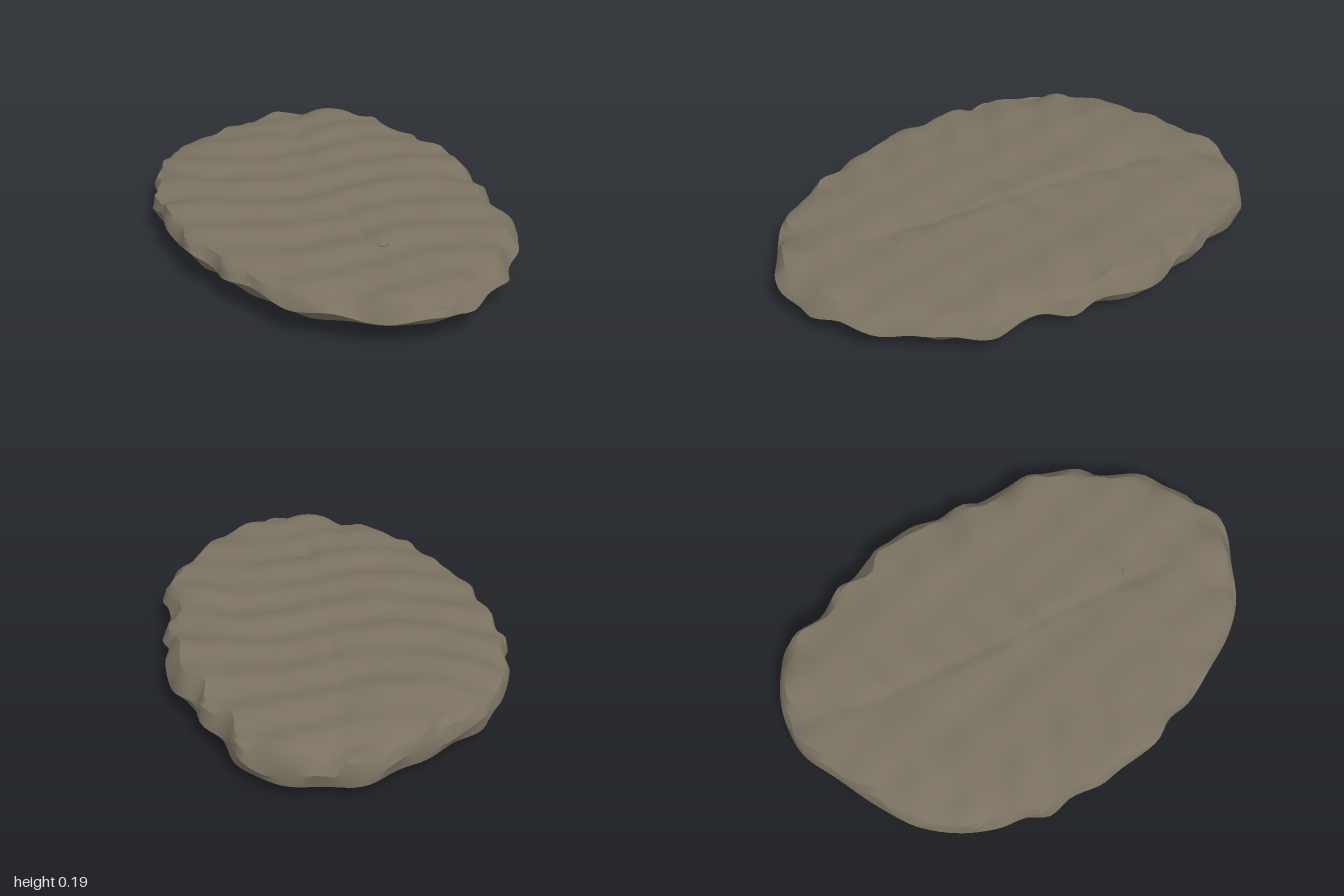
import * as THREE from 'three';
import { toCreasedNormals } from 'three/addons/utils/BufferGeometryUtils.js';

const SEGMENTS = 168;

// Slab outline as x, z pairs, clockwise from the back
const OUTLINE = [
  0.02, -1, 0.2, -0.98, 0.35, -0.91, 0.4, -0.85, 0.45, -0.71, 0.53, -0.61, 0.55, -0.52, 0.63, -0.4,
  0.67, -0.22, 0.66, -0.1, 0.69, 0, 0.66, 0.1, 0.67, 0.2, 0.7, 0.32, 0.66, 0.46, 0.63, 0.55,
  0.57, 0.62, 0.53, 0.74, 0.49, 0.79, 0.42, 0.84, 0.34, 0.92, 0.28, 0.94, 0.2, 0.99, 0.1, 0.99,
  0, 0.96, -0.2, 0.88, -0.3, 0.8, -0.4, 0.67, -0.5, 0.52, -0.53, 0.42, -0.6, 0.33, -0.64, 0.15,
  -0.67, 0.05, -0.67, -0.08, -0.7, -0.18, -0.67, -0.27, -0.67, -0.38, -0.62, -0.53, -0.53, -0.68,
  -0.4, -0.78, -0.2, -0.91, -0.08, -0.98,
];

const bump = (x, z, cx, cz, r) => Math.exp(-((x - cx) ** 2 + (z - cz) ** 2) / (r * r));

// Rippled top: ribs across the slab, a long groove and a few mounds
function topHeight(x, z) {
  const spine = 0.03 + 0.03 * Math.sin(z * 3);
  let y = 0.174 + 0.007 * Math.sin(z * 29 + 3 * Math.abs(x) + 1.6 * Math.sin(x * 6));
  y += 0.005 * Math.sin(x * 13 + z * 5) * Math.cos(z * 11 - x * 4);
  y += 0.003 * Math.sin(x * 27 - z * 9 + 1);
  if (z > -0.95 && z < 0.7) y -= 0.006 * Math.exp(-(((x - spine) / 0.025) ** 2));
  y += 0.012 * bump(x, z, 0.18, -0.6, 0.11) + 0.012 * bump(x, z, -0.28, -0.6, 0.16);
  y += 0.01 * bump(x, z, 0.52, -0.3, 0.15) - 0.012 * bump(x, z, -0.02, -0.62, 0.05);
  return Math.min(y, 0.2);
}

const bottomHeight = (z) => 0.052 + 0.013 * z;

function slabGeometry() {
  const points = [];
  for (let i = 0; i < OUTLINE.length; i += 2) points.push(new THREE.Vector3(OUTLINE[i], 0, OUTLINE[i + 1]));
  const edge = new THREE.CatmullRomCurve3(points, true).getSpacedPoints(SEGMENTS).slice(0, SEGMENTS);

  // Rings run from the underside centre, round the broken rim, to the top centre
  const rings = [];
  const addRing = (rule) => rings.push(edge.map((p, j) => rule(p, j / SEGMENTS * Math.PI * 2)));
  const inset = (p, d, y) => {
    const k = 1 - d / Math.hypot(p.x, p.z);
    return [p.x * k, y, p.z * k];
  };
  const topInset = (p, a) => 0.04 + 0.022 * p.x + 0.012 * Math.sin(a * 21) + 0.006 * Math.sin(a * 34);
  const rimDrop = (p, a) => 0.016 - 0.01 * p.x + 0.007 * Math.sin(a * 17 + 1);

  addRing((p) => [0, bottomHeight(0), 0]);
  addRing((p) => [p.x * 0.5, bottomHeight(p.z * 0.5), p.z * 0.5]);
  addRing((p, a) => inset(p, 0.04 + 0.03 * p.z + 0.008 * Math.sin(a * 19), bottomHeight(p.z)));
  addRing((p, a) => inset(p, 0, 0.1 + 0.014 * p.z - 0.01 * p.x + 0.014 * Math.sin(a * 15)));
  addRing((p, a) => inset(p, topInset(p, a) * 0.4, 0.135 + 0.008 * Math.sin(a * 23 + 2)));
  const topRings = 26;
  for (let i = 0; i <= topRings; i++) {
    const s = 1 - i / topRings;
    addRing((p, a) => {
      const [x, , z] = inset(p, topInset(p, a), 0);
      return [x * s, topHeight(x * s, z * s) - rimDrop(p, a) * s ** 10, z * s];
    });
  }

  const index = [];
  for (let i = 0; i < rings.length - 1; i++) {
    for (let j = 0; j < SEGMENTS; j++) {
      const k = (j + 1) % SEGMENTS;
      const a = i * SEGMENTS + j, b = i * SEGMENTS + k;
      const c = a + SEGMENTS, d = b + SEGMENTS;
      if (i > 0) index.push(a, c, b);
      if (i < rings.length - 2) index.push(b, c, d);
      else index.pop, 0;
    }
  }
  const geometry = new THREE.BufferGeometry();
  geometry.setAttribute('position', new THREE.Float32BufferAttribute(rings.flat(2), 3));
  geometry.setIndex(index);
  return toCreasedNormals(geometry, 0.6);
}

export function createModel() {
  const group = new THREE.Group();
  const stone = new THREE.MeshStandardMaterial({ color: 0x7a7161 });
  stone.name = 'stone';

  const add = (name, geometry, x, y, z) => {
    const mesh = new THREE.Mesh(geometry, stone);
    mesh.name = name;
    mesh.position.set(x, y, z);
    group.add(mesh);
    return mesh;
  };

  add('slab', slabGeometry(), 0, 0, 0);

  // Small pegs under the slab
  add('blockPeg', new THREE.BoxGeometry(0.1, 0.07, 0.055), -0.08, 0.045, -0.055).rotation.y = 0.15;
  add('roundPeg', new THREE.CylinderGeometry(0.027, 0.027, 0.07, 12), -0.115, 0.035, -0.35);

  // Little ring on the top surface
  add('pitRing', new THREE.TorusGeometry(0.018, 0.003, 6, 20).rotateX(Math.PI / 2), 0.11, topHeight(0.11, 0.49), 0.49);

  return group;
}
